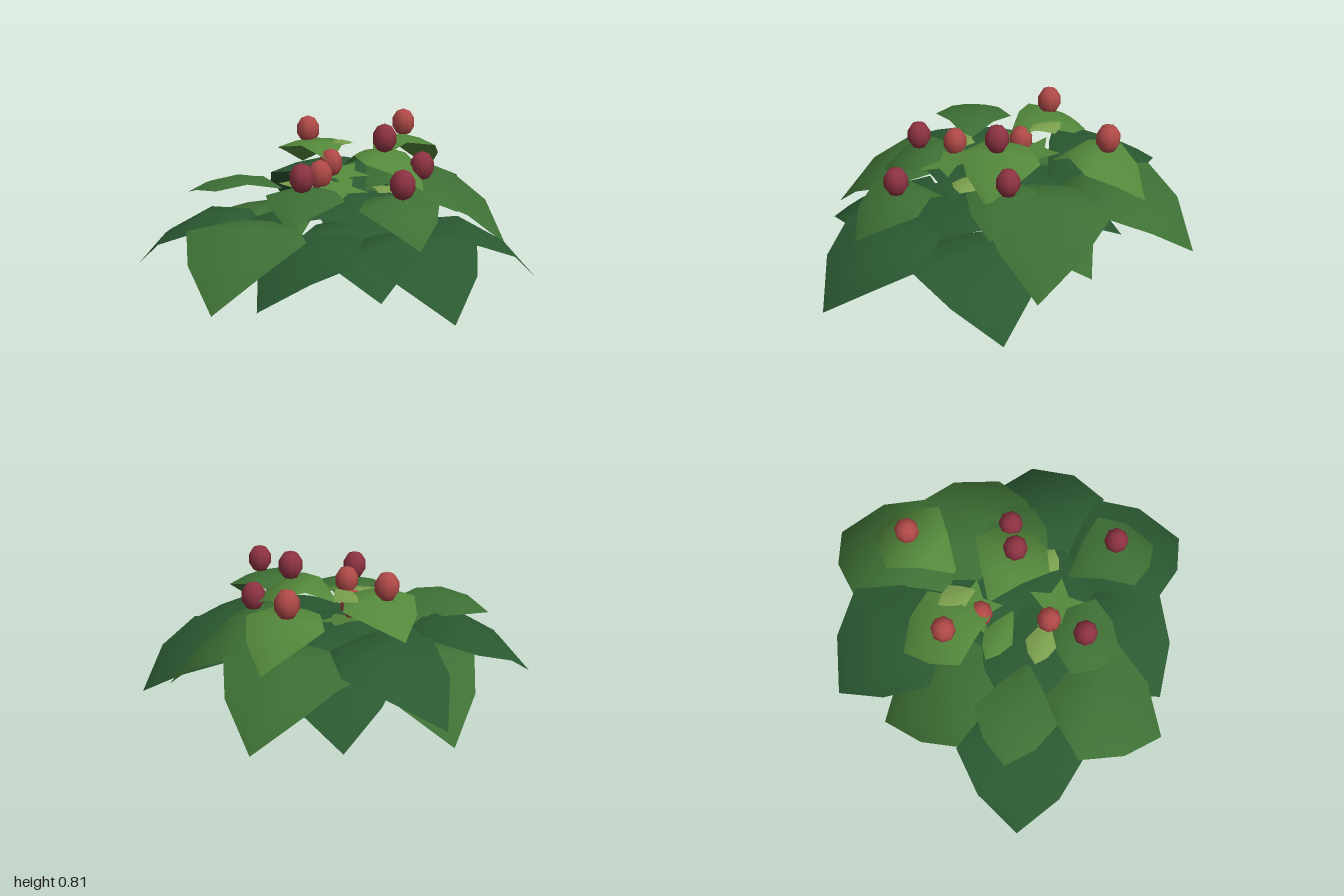
import * as THREE from 'three';

const mat = (color, extra = {}) => new THREE.MeshStandardMaterial({ color, ...extra });
const two = { side: THREE.DoubleSide };
const dark = mat(0x2b5931, two);
const mid = mat(0x3e7035, two);
const light = mat(0x54883b, two);
const pale = mat(0x7ba04d, two);
const redBright = mat(0xb04a48);
const redDark = mat(0x8e3342);

// Outline of a leaf: [position along it, share of the half width]
const OUTLINE = [[0, 0.05], [0.27, 0.56], [0.53, 1], [0.8, 0.63], [1, 0]];
const ACROSS = [-1, -0.5, 0, 0.5, 1];
const PEAK = 0.42; // where along the leaf its arch is highest

// Arched leaf sheet: rises from a sunken base to height top, then falls to the tip
function leafGeometry([bx, bz], tip, top, halfWidth, droop) {
  const dx = tip[0] - bx, dz = tip[2] - bz;
  const length = Math.hypot(dx, dz);
  const pos = [], index = [];
  for (const [t, w] of OUTLINE) {
    for (const s of ACROSS) {
      const off = s * w * halfWidth;
      pos.push(
        bx + dx * t + (dz / length) * off,
        top - (top - tip[1]) * ((t - PEAK) / (1 - PEAK)) ** 2 - droop * (s * w) ** 2,
        bz + dz * t - (dx / length) * off
      );
    }
  }
  const n = ACROSS.length;
  for (let r = 0; r < OUTLINE.length - 1; r++) {
    for (let c = 0; c < n - 1; c++) {
      const a = r * n + c, b = a + n;
      index.push(a, a + 1, b);
      if (r < OUTLINE.length - 2) index.push(a + 1, b + 1, b);
    }
  }
  const g = new THREE.BufferGeometry();
  g.setAttribute('position', new THREE.Float32BufferAttribute(pos, 3));
  // across runs to the leaf's left, so reverse the order to face upward
  g.setIndex(index.reverse());
  g.computeVertexNormals();
  return g;
}

// Small five-pointed star of sprouting green
function starGeometry(radius) {
  const shape = new THREE.Shape();
  for (let i = 0; i < 10; i++) {
    const r = i % 2 ? radius * 0.5 : radius, a = (i * Math.PI) / 5;
    shape[i ? 'lineTo' : 'moveTo'](Math.cos(a) * r, Math.sin(a) * r);
  }
  return new THREE.ShapeGeometry(shape).rotateX(-Math.PI / 2);
}

export function createModel() {
  const model = new THREE.Group();
  model.name = 'berryBush';
  const add = (name, geometry, material, parent) => {
    const mesh = new THREE.Mesh(geometry, material);
    mesh.name = name;
    parent.add(mesh);
    return mesh;
  };
  const layer = (name) => {
    const group = new THREE.Group();
    group.name = name;
    model.add(group);
    return group;
  };

  // Large leaves: tip, horizontal direction, height of the arch, material
  const large = layer('largeLeaves');
  [
    [[0.27, 0.22, -1.0], [0.07, -1], 0.54, dark],
    [[0.98, 0.19, -0.42], [0.965, -0.26], 0.53, mid],
    [[0.65, 0.17, 0.43], [0.54, 0.84], 0.53, mid],
    [[0.05, 0.01, -0.9], [0.42, -0.9], 0.36, mid],
    [[-0.86, 0.06, -0.77], [-0.71, -0.7], 0.37, dark],
    [[0.63, 0.05, 0.66], [0.85, 0.52], 0.36, dark],
    [[-0.23, 0.04, 0.99], [-0.23, 0.97], 0.37, dark],
    [[-0.82, 0.04, 0.28], [-1, 0.02], 0.34, dark],
    [[-0.98, 0.02, 0.14], [-0.87, 0.5], 0.38, mid],
    [[0.6, 0.03, -0.09], [1, 0.05], 0.35, mid],
    [[0.47, 0.03, -0.55], [0.7, -0.7], 0.35, dark],
    [[-0.32, 0.06, 0.58], [-0.4, 0.9], 0.36, dark],
  ].forEach(([tip, [dx, dz], top, m]) => {
    const k = 0.78 / Math.hypot(dx, dz);
    const base = [tip[0] - dx * k, tip[2] - dz * k];
    add('largeLeaf', leafGeometry(base, tip, top, 0.325, 0.05), m, large);
  });

  // Inner leaves closing the middle: base, tip, height of the arch
  const inner = layer('innerLeaves');
  [
    [[0.05, -0.35], [0.02, 0.28, 0.4], 0.4],
    [[-0.05, 0.2], [-0.38, 0.3, -0.42], 0.4],
    [[-0.1, 0.05], [0.45, 0.32, -0.4], 0.42],
  ].forEach(([base, tip, top]) =>
    add('innerLeaf', leafGeometry(base, tip, top, 0.27, 0.04), dark, inner));

  // Smaller upper leaves: base, tip, height of the arch, material
  const upper = layer('upperLeaves');
  [
    [[0.27, -0.19], [0.76, 0.46, -0.29], 0.69, light],
    [[-0.02, -0.2], [0.13, 0.52, -0.65], 0.69, light],
    [[0.04, -0.16], [0.21, 0.48, 0.28], 0.68, light],
    [[-0.2, -0.03], [-0.57, 0.38, 0.19], 0.54, mid],
    [[-0.09, 0.27], [-0.23, 0.33, 0.75], 0.54, mid],
    [[0.18, -0.05], [0.33, 0.38, 0.4], 0.53, mid],
    [[-0.32, -0.22], [-0.62, 0.44, -0.64], 0.54, mid],
  ].forEach(([base, tip, top, m]) =>
    add('upperLeaf', leafGeometry(base, tip, top, 0.21, 0.04), m, upper));

  // Young pale shoots in the middle
  const shoots = layer('youngShoots');
  [
    [[-0.22, 0], [-0.35, 0.52, -0.2], 0.54, pale],
    [[0.1, -0.2], [0.16, 0.67, -0.39], 0.68, pale],
    [[0, 0.12], [0.05, 0.5, 0.29], 0.52, pale],
    [[-0.07, -0.1], [-0.17, 0.52, -0.37], 0.54, light],
  ].forEach(([base, tip, top, m]) =>
    add('shoot', leafGeometry(base, tip, top, 0.08, 0.02), m, shoots));
  [[-0.2, 0.52, 0.09], [0.08, 0.52, -0.24]].forEach((p) => {
    const star = add('starShoot', starGeometry(0.16), light, shoots);
    star.position.set(...p);
    star.rotation.set(0.15, 0.4, 0.1);
  });

  // Berries
  const berries = layer('berries');
  const berry = new THREE.SphereGeometry(0.063, 8, 5).scale(1, 1.2, 1);
  [
    [0.03, 0.73, -0.46, redBright],
    [0.54, 0.745, -0.265, redBright],
    [-0.235, 0.58, -0.005, redBright],
    [0.015, 0.58, -0.24, redBright],
    [-0.41, 0.595, 0.08, redDark],
    [0.115, 0.74, 0.08, redDark],
    [0.275, 0.595, 0.19, redDark],
    [-0.15, 0.6, 0.53, redDark],
  ].forEach(([x, y, z, m]) => add('berry', berry, m, berries).position.set(x, y, z));

  return model;
}
